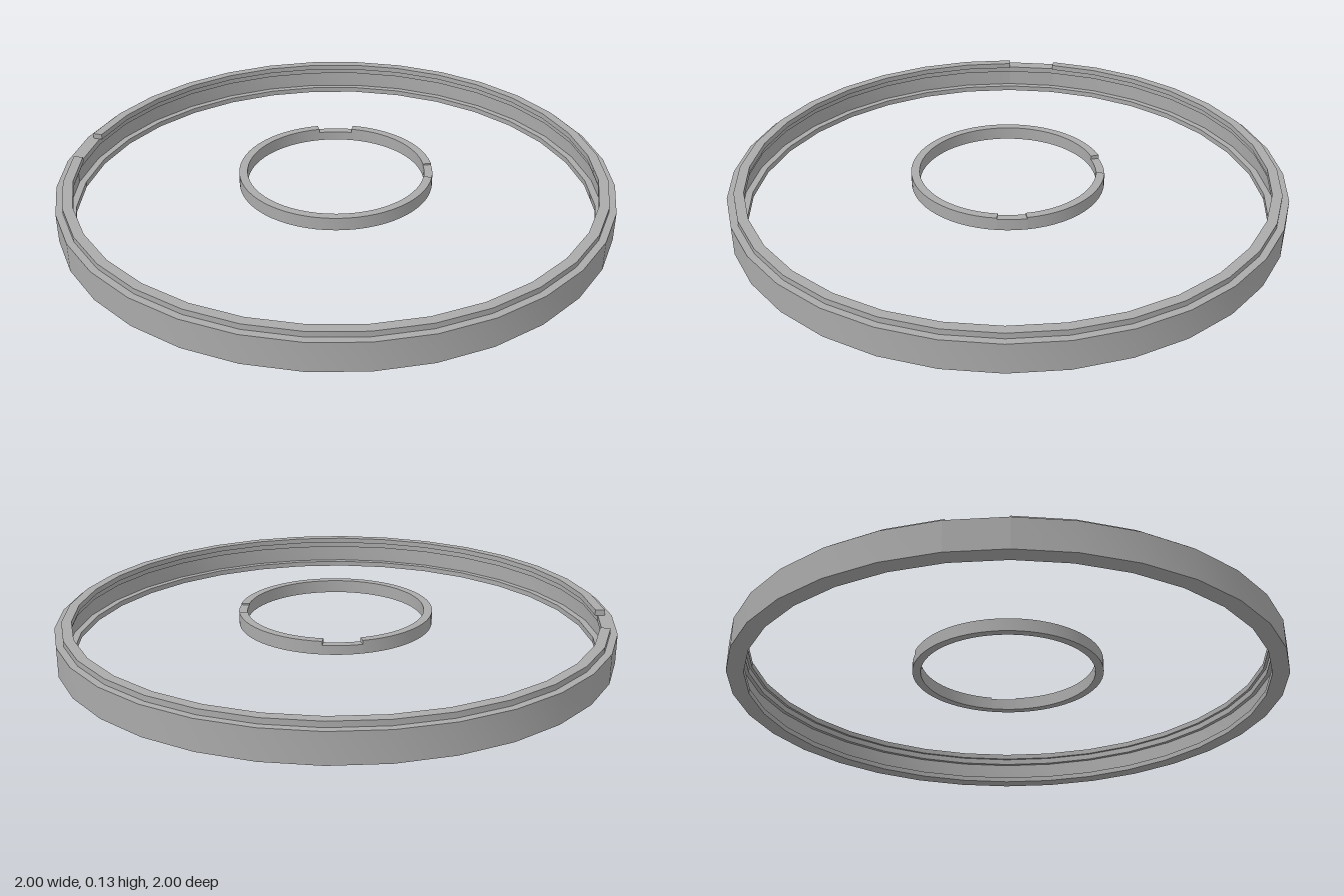
import * as THREE from 'three';
import { toCreasedNormals } from 'three/addons/utils/BufferGeometryUtils.js';

export function createModel() {
  const model = new THREE.Group();
  const grey = new THREE.MeshStandardMaterial({ color: 0xaaaaaa, side: THREE.DoubleSide });
  grey.name = 'plain grey';

  // Sweep a closed [radius, height] profile through some of the ring's facets
  function arc(group, name, profile, facets, first, count) {
    const step = (Math.PI * 2) / facets;
    const points = [...profile, profile[0]].map(([r, y]) => new THREE.Vector2(r, y));
    const lathe = new THREE.LatheGeometry(points, count, first * step, count * step);
    const mesh = new THREE.Mesh(toCreasedNormals(lathe, 0.5), grey);
    mesh.name = name;
    group.add(mesh);
  }

  // Upright wall closing one end of a notch
  function notchEnd(group, r0, r1, y0, y1, angle) {
    const geometry = new THREE.PlaneGeometry(r1 - r0, y1 - y0);
    geometry.translate((r0 + r1) / 2, (y0 + y1) / 2, 0);
    geometry.rotateY(angle - Math.PI / 2);
    const mesh = new THREE.Mesh(geometry, grey);
    mesh.name = 'notchEnd';
    group.add(mesh);
  }

  // Outer ring: stepped rim outside, grooved wall inside, one notch in the lip
  const outer = new THREE.Group();
  outer.name = 'outerRing';
  const wall = [[0.94, 0], [1, 0], [1, 0.107]];
  const groove = [[0.95, 0.107], [0.95, 0.085], [0.965, 0.085], [0.965, 0.02], [0.94, 0.02]];
  const lip = [[0.975, 0.107], [0.975, 0.127], [0.94, 0.127], [0.94, 0.107]];
  arc(outer, 'outerWall', [...wall, ...lip, ...groove], 32, 20, 31);
  arc(outer, 'outerNotch', [...wall, ...groove], 32, 19, 1);
  for (const i of [19, 20]) notchEnd(outer, 0.94, 0.975, 0.107, 0.127, (i * Math.PI) / 16);
  model.add(outer);

  // Inner ring: plain band with a deep and a shallow notch in its top edge
  const inner = new THREE.Group();
  inner.name = 'innerRing';
  const band = (top) => [[0.32, 0.08], [0.35, 0.08], [0.35, top], [0.32, top]];
  const sections = [
    [7, 3, 0.122], [10, 13, 0.127], [23, 4, 0.113], [27, 44, 0.127],
  ];
  for (const [first, count, top] of sections) {
    arc(inner, top < 0.127 ? 'innerNotch' : 'innerBand', band(top), 64, first, count);
    if (top < 0.127) {
      for (const i of [first, first + count]) notchEnd(inner, 0.32, 0.35, top, 0.127, (i * Math.PI) / 32);
    }
  }
  model.add(inner);

  return model;
}
